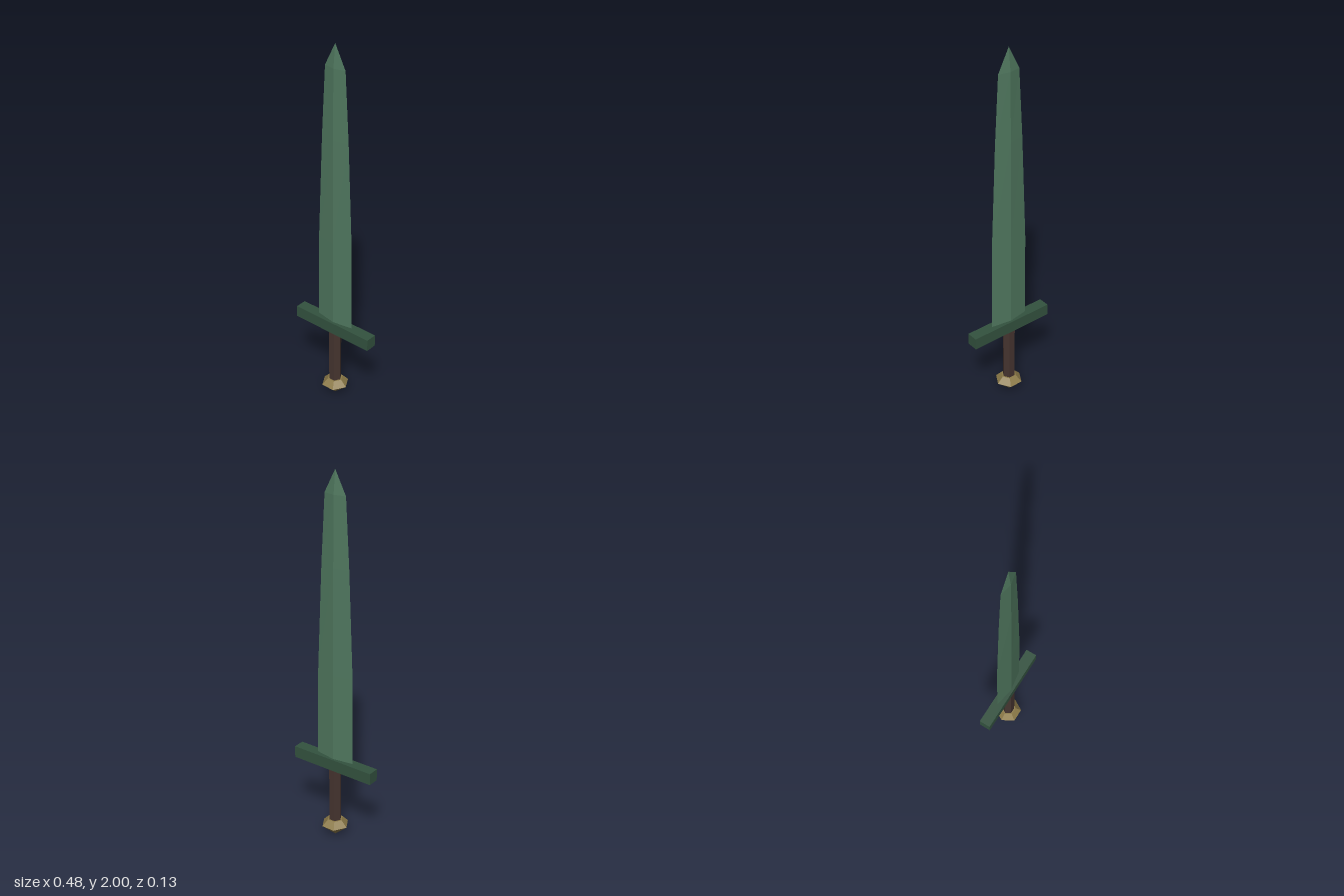
import * as THREE from 'three';

const paint = (name, color) => {
  const m = new THREE.MeshStandardMaterial({ color, flatShading: true });
  m.name = name;
  return m;
};

// Diamond cross-sections [y, half width, half depth] joined into a closed solid
function diamondLoft(sections) {
  const rings = sections.map(([y, w, d]) => [[w, y, 0], [0, y, -d], [-w, y, 0], [0, y, d]]);
  const pos = [];
  const tri = (a, b, c) => pos.push(...a, ...b, ...c);
  for (let i = 0; i < rings.length - 1; i++) {
    for (let k = 0; k < 4; k++) {
      const n = (k + 1) % 4;
      const [a, b, c, d] = [rings[i][k], rings[i][n], rings[i + 1][n], rings[i + 1][k]];
      tri(a, b, c);
      if (i < rings.length - 2) tri(a, c, d); // the last section is a point
    }
  }
  const r = rings[0];
  tri(r[0], r[2], r[1]);
  tri(r[0], r[3], r[2]);
  const g = new THREE.BufferGeometry();
  g.setAttribute('position', new THREE.Float32BufferAttribute(pos, 3));
  g.computeVertexNormals();
  return g;
}

export function createModel() {
  const group = new THREE.Group();
  const add = (name, geometry, material, y = 0) => {
    const mesh = new THREE.Mesh(geometry, material);
    mesh.name = name;
    mesh.position.y = y;
    group.add(mesh);
    return mesh;
  };

  // Tapering blade with a central ridge and a short point
  add('blade', diamondLoft([
    [0.46, 0.112, 0.019],
    [0.95, 0.107, 0.018],
    [1.52, 0.083, 0.016],
    [1.88, 0.062, 0.013],
    [2.0, 0, 0],
  ]), paint('blade green', 0x50785f));

  // Straight crossguard
  add('crossguard', new THREE.BoxGeometry(0.482, 0.064, 0.062), paint('guard green', 0x33523f), 0.442);

  // Six-sided grip
  const grip = new THREE.CylinderGeometry(0.034, 0.034, 0.33, 6).rotateY(Math.PI / 2);
  add('grip', grip, paint('grip brown', 0x45342f), 0.255);

  // Faceted pommel, pointed at the bottom
  const profile = [[0, 0.005], [0.074, 0.07], [0.042, 0.104], [0, 0.104]];
  const pommel = new THREE.LatheGeometry(profile.map(p => new THREE.Vector2(...p)), 6).rotateY(Math.PI / 2);
  add('pommel', pommel, paint('pommel brass', 0x8c7a48));

  return group;
}
